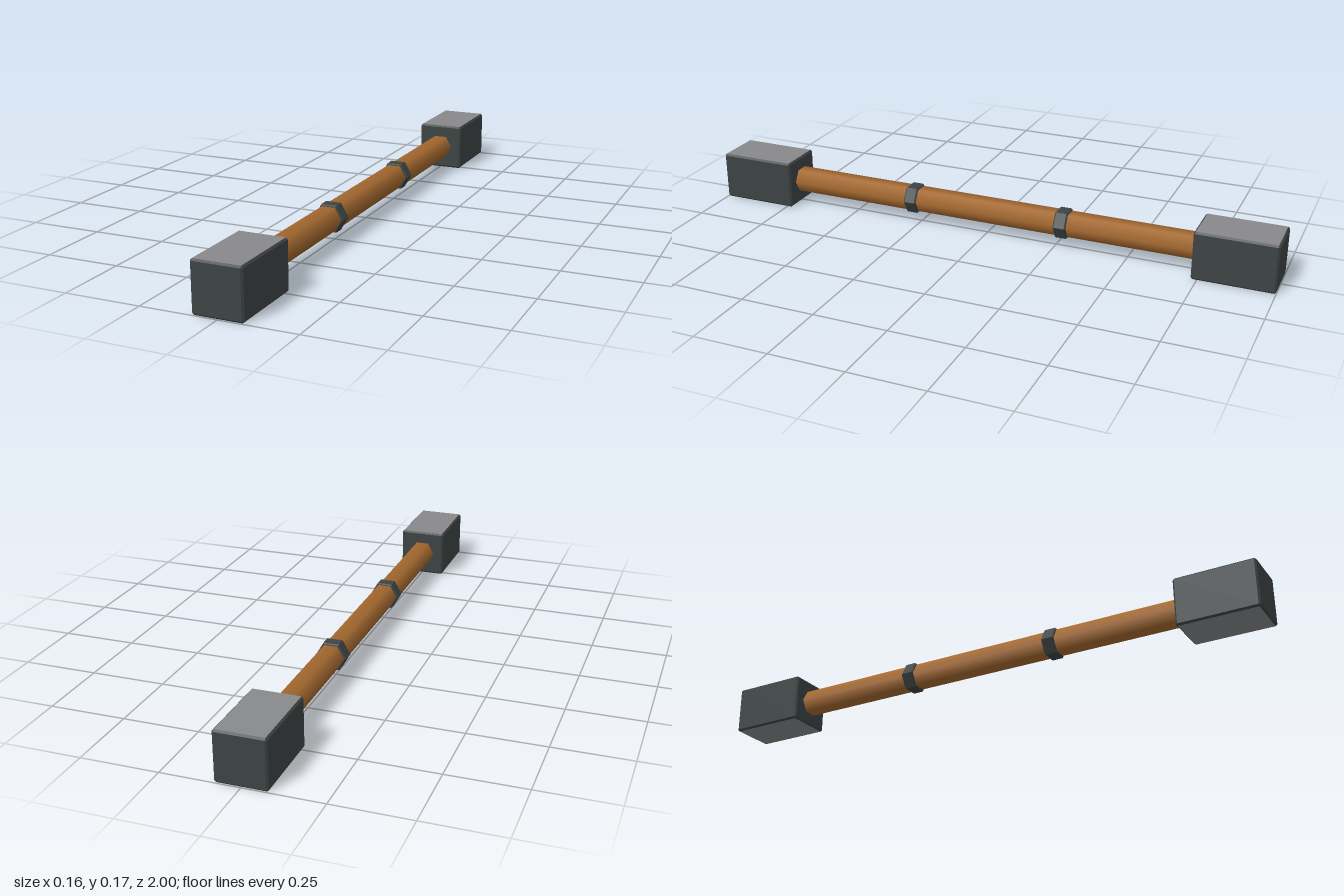
import * as THREE from 'three';
import { ConvexGeometry } from 'three/addons/geometries/ConvexGeometry.js';

const makeMaterial = (name, color, flatShading) => {
  const m = new THREE.MeshStandardMaterial({ color, flatShading });
  m.name = name;
  return m;
};

// Box with all edges chamfered; triangles facing up or down use material 1
function chamferedBox(w, h, d, c) {
  const points = [];
  for (const sx of [-1, 1]) for (const sy of [-1, 1]) for (const sz of [-1, 1]) {
    const x = w / 2, y = h / 2, z = d / 2;
    points.push(
      new THREE.Vector3(sx * x, sy * (y - c), sz * (z - c)),
      new THREE.Vector3(sx * (x - c), sy * y, sz * (z - c)),
      new THREE.Vector3(sx * (x - c), sy * (y - c), sz * z));
  }
  const geo = new ConvexGeometry(points);
  const normal = geo.attributes.normal;
  for (let i = 0; i < normal.count; i += 3) {
    geo.addGroup(i, 3, Math.abs(normal.getY(i)) > 0.95 ? 1 : 0);
  }
  return geo;
}

export function createModel() {
  const wood = makeMaterial('brown wood', 0xa5692f, false);
  const iron = makeMaterial('dark iron', 0x3d4444, true);
  const steel = makeMaterial('grey steel', 0x88898b, true);

  const model = new THREE.Group();
  model.name = 'doubleHeadedHammer';
  const axisY = 0.0825;
  const add = (name, geometry, material, z) => {
    const mesh = new THREE.Mesh(geometry, material);
    mesh.name = name;
    mesh.position.set(0, axisY, z);
    model.add(mesh);
  };

  // Six-sided shaft with smooth shading, ends sunk into the heads
  const shaft = new THREE.CylinderGeometry(0.045, 0.045, 1.48, 6, 1, true, Math.PI / 6);
  shaft.rotateX(Math.PI / 2);
  add('shaft', shaft, wood, 0);

  // Six-sided band with bevelled rims
  const profile = [[0.04, -0.022], [0.048, -0.022], [0.052, -0.018],
    [0.052, 0.018], [0.048, 0.022], [0.04, 0.022]].map(([r, y]) => new THREE.Vector2(r, y));
  const band = new THREE.LatheGeometry(profile, 6, Math.PI / 6);
  band.rotateX(Math.PI / 2);

  const head = chamferedBox(0.164, 0.165, 0.27, 0.006);

  // Front and back pairs
  for (const [side, s] of [['front', 1], ['back', -1]]) {
    add(side + 'Band', band, iron, s * 0.274);
    add(side + 'Head', head, [iron, steel], s * 0.865);
  }
  return model;
}
